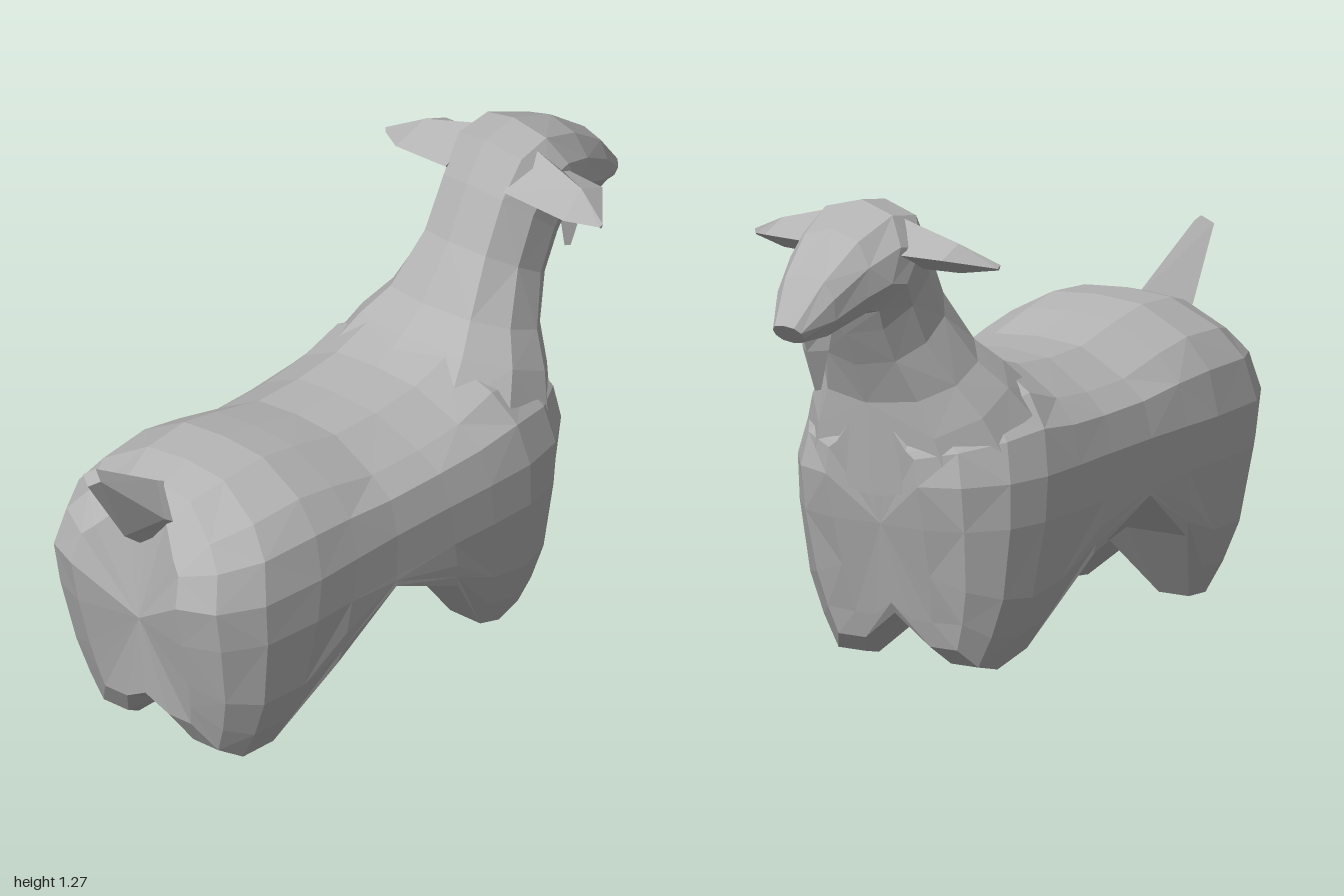
import * as THREE from 'three';

const { lerp, clamp } = THREE.MathUtils;
const V = (x, y, z) => new THREE.Vector3(x, y, z);

// Joins closed rings of points into a capped, outward-facing faceted skin.
function loft(name, rings, material) {
  const tris = [];
  const n = rings[0].length;
  for (let r = 0; r < rings.length - 1; r++) {
    for (let i = 0; i < n; i++) {
      const j = (i + 1) % n;
      const a = rings[r][i], b = rings[r][j], c = rings[r + 1][j], d = rings[r + 1][i];
      if ((r + i) % 2) tris.push([a, b, c], [a, c, d]);
      else tris.push([a, b, d], [b, c, d]);
    }
  }
  const cap = (ring, flip) => {
    const mid = V(0, 0, 0);
    ring.forEach((p) => mid.addScaledVector(p, 1 / n));
    ring.forEach((p, i) => {
      const q = ring[(i + 1) % n];
      tris.push(flip ? [mid, q, p] : [mid, p, q]);
    });
  };
  cap(rings[0], true);
  cap(rings[rings.length - 1], false);

  // The signed volume tells whether the winding must be reversed.
  let volume = 0;
  for (const [a, b, c] of tris) volume += a.dot(b.clone().cross(c));
  if (volume < 0) tris.forEach((t) => t.reverse());

  const geometry = new THREE.BufferGeometry().setFromPoints(tris.flat());
  geometry.computeVertexNormals();
  const mesh = new THREE.Mesh(geometry, material);
  mesh.name = name;
  return mesh;
}

// Share of the full width left on the flank at a height below the middle.
const flank = (y) => 0.99 - 0.37 * (1 - Math.min(y, 0.4) / 0.4) ** 2;

// Body slice: rounded back, broad flank, two feet and a raised belly line.
function bodyRing([zTop, zMid, zFoot, w, top, foot, belly]) {
  const lower = [0.4, lerp(foot, 0.4, 0.5), lerp(foot, 0.4, 0.22), foot];
  const half = [
    [0, top], [0.38 * w, top - 0.01], [0.75 * w, top - 0.08], [0.93 * w, lerp(0.52, top, 0.42)],
    [w, 0.52], ...lower.map((y) => [flank(y) * w, y]), [0.4 * w, foot], [0, belly],
  ];
  const place = ([x, y]) => V(x, y, y > 0.52
    ? lerp(zMid, zTop, ((y - 0.52) / (top - 0.52)) ** 1.5)
    : lerp(zMid, zFoot, clamp((0.5 - y) / (0.5 - foot), 0, 1)));
  const right = half.map(place);
  const left = half.slice(1, -1).reverse().map(([x, y]) => place([-x, y]));
  return [...right, ...left];
}

// Oval slice given by its upper and lower points in the middle plane.
function ovalRing([zA, yA, zB, yB, w], sides = 10) {
  return Array.from({ length: sides }, (_, i) => {
    const a = (i / sides) * Math.PI * 2;
    const t = (1 - Math.cos(a)) / 2;
    const s = Math.sin(a);
    return V(Math.sign(s) * Math.abs(s) ** 0.8 * w, lerp(yA, yB, t), lerp(zA, zB, t));
  });
}

export function createModel() {
  const group = new THREE.Group();
  group.name = 'goat';
  const grey = new THREE.MeshStandardMaterial({ color: 0xb4b4b4, flatShading: true });
  grey.name = 'grey';

  // Body with legs, rump to chest: zTop, zMid, zFoot, width, top, foot, belly
  const body = [
    [0.77, 0.865, 0.77, 0.18, 0.71, 0.13, 0.17],
    [0.72, 0.82, 0.72, 0.28, 0.76, 0.05, 0.14],
    [0.62, 0.70, 0.65, 0.345, 0.79, 0.01, 0.13],
    [0.48, 0.50, 0.55, 0.357, 0.80, 0.02, 0.14],
    [0.36, 0.36, 0.40, 0.352, 0.78, 0.22, 0.24],
    [0.20, 0.20, 0.20, 0.348, 0.745, 0.37, 0.30],
    [0.05, 0.00, -0.05, 0.35, 0.745, 0.26, 0.26],
    [-0.10, -0.15, -0.23, 0.355, 0.76, 0.04, 0.15],
    [-0.22, -0.30, -0.33, 0.355, 0.80, 0.00, 0.13],
    [-0.36, -0.43, -0.41, 0.325, 0.77, 0.02, 0.13],
    [-0.50, -0.54, -0.46, 0.245, 0.73, 0.07, 0.15],
    [-0.59, -0.583, -0.48, 0.14, 0.69, 0.14, 0.18],
  ];
  group.add(loft('body', body.map(bodyRing), grey));

  // Neck and head, shoulders to nose: upper z, y, lower z, y, width
  const neckAndHead = [
    [-0.10, 0.73, -0.585, 0.48, 0.325],
    [-0.20, 0.81, -0.60, 0.63, 0.27],
    [-0.28, 0.87, -0.61, 0.73, 0.21],
    [-0.38, 1.01, -0.66, 0.84, 0.16],
    [-0.45, 1.15, -0.71, 0.93, 0.155],
    [-0.52, 1.25, -0.735, 0.98, 0.165],
    [-0.63, 1.27, -0.76, 0.985, 0.155],
    [-0.77, 1.22, -0.80, 0.97, 0.125],
    [-0.90, 1.13, -0.88, 0.95, 0.09],
    [-1.00, 1.01, -0.95, 0.955, 0.045],
  ];
  group.add(loft('neckAndHead', neckAndHead.map((r) => ovalRing(r)), grey));

  // Beard
  group.add(loft('beard', [
    ovalRing([-0.92, 1.0, -0.76, 1.0, 0.05], 4),
    ovalRing([-0.89, 0.92, -0.805, 0.92, 0.04], 4),
    ovalRing([-0.85, 0.81, -0.825, 0.81, 0.01], 4),
  ], grey));

  // Short raised tail
  group.add(loft('tail', [
    ovalRing([0.66, 0.74, 0.80, 0.62, 0.09], 4),
    ovalRing([0.74, 0.78, 0.86, 0.665, 0.085], 4),
    ovalRing([0.97, 0.91, 1.0, 0.87, 0.03], 4),
  ], grey));

  // Ears, flat below and pointed outward
  for (const s of [1, -1]) {
    const ear = [
      [[0.08, 1.235, -0.60], [0.10, 1.15, -0.48], [0.10, 1.095, -0.58], [0.10, 1.15, -0.68]],
      [[0.27, 1.18, -0.59], [0.29, 1.13, -0.50], [0.27, 1.10, -0.58], [0.27, 1.15, -0.67]],
      [[0.375, 1.13, -0.555], [0.37, 1.12, -0.55], [0.37, 1.115, -0.555], [0.37, 1.12, -0.56]],
    ].map((ring) => ring.map(([x, y, z]) => V(s * x, y, z)));
    group.add(loft(s > 0 ? 'leftEar' : 'rightEar', ear, grey));
  }
  return group;
}
